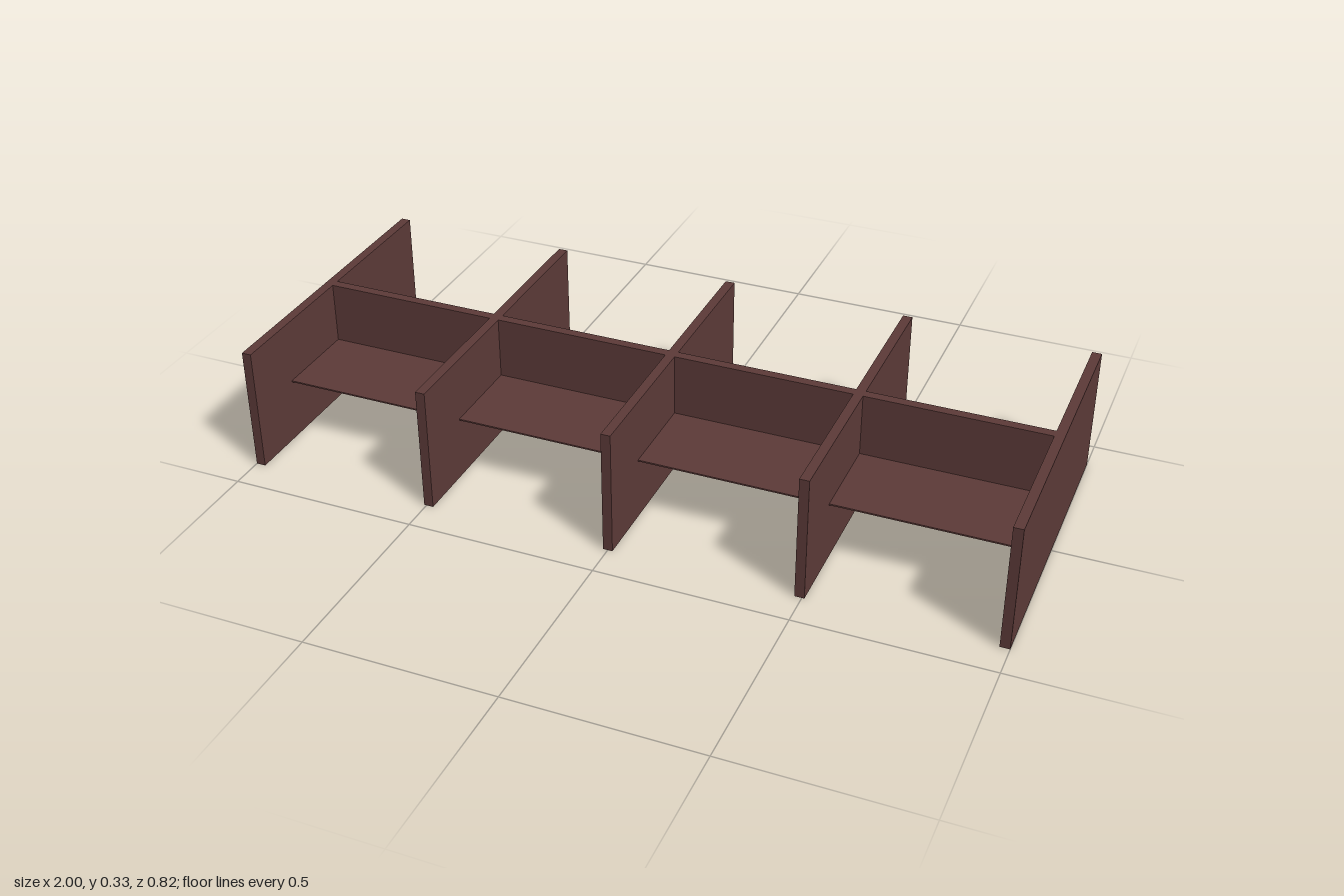
import * as THREE from 'three';

const HEIGHT = 0.333, DEPTH = 0.82, THICK = 0.025;
const BAYS = 4, PITCH = (2 - THICK) / BAYS;
const DESK_Y = 0.165, DESK_THICK = 0.004, DESK_EDGE = 0.248;

export function createModel() {
  const group = new THREE.Group();
  const wood = new THREE.MeshStandardMaterial({ color: 0x5c3a38 });
  wood.name = 'dark reddish wood';

  const addBox = (name, size, position) => {
    const mesh = new THREE.Mesh(new THREE.BoxGeometry(...size), wood);
    mesh.name = name;
    mesh.position.set(...position);
    group.add(mesh);
  };

  // Cross partitions between the workstations
  for (let i = 0; i <= BAYS; i++) {
    addBox('sidePartition', [THICK, HEIGHT, DEPTH], [(i - BAYS / 2) * PITCH, HEIGHT / 2, 0]);
  }

  // Each bay has a length of the central partition and a thin desk on both sides
  const bayWidth = PITCH - THICK;
  const deskDepth = DESK_EDGE - THICK / 2;
  for (let i = 0; i < BAYS; i++) {
    const x = (i - (BAYS - 1) / 2) * PITCH;
    addBox('centrePartition', [bayWidth, HEIGHT, THICK], [x, HEIGHT / 2, 0]);
    for (const side of [1, -1]) {
      addBox('deskTop', [bayWidth, DESK_THICK, deskDepth],
        [x, DESK_Y, side * (THICK + deskDepth * 2) / 4 * 1 + side * THICK / 4]);
    }
  }
  return group;
}
